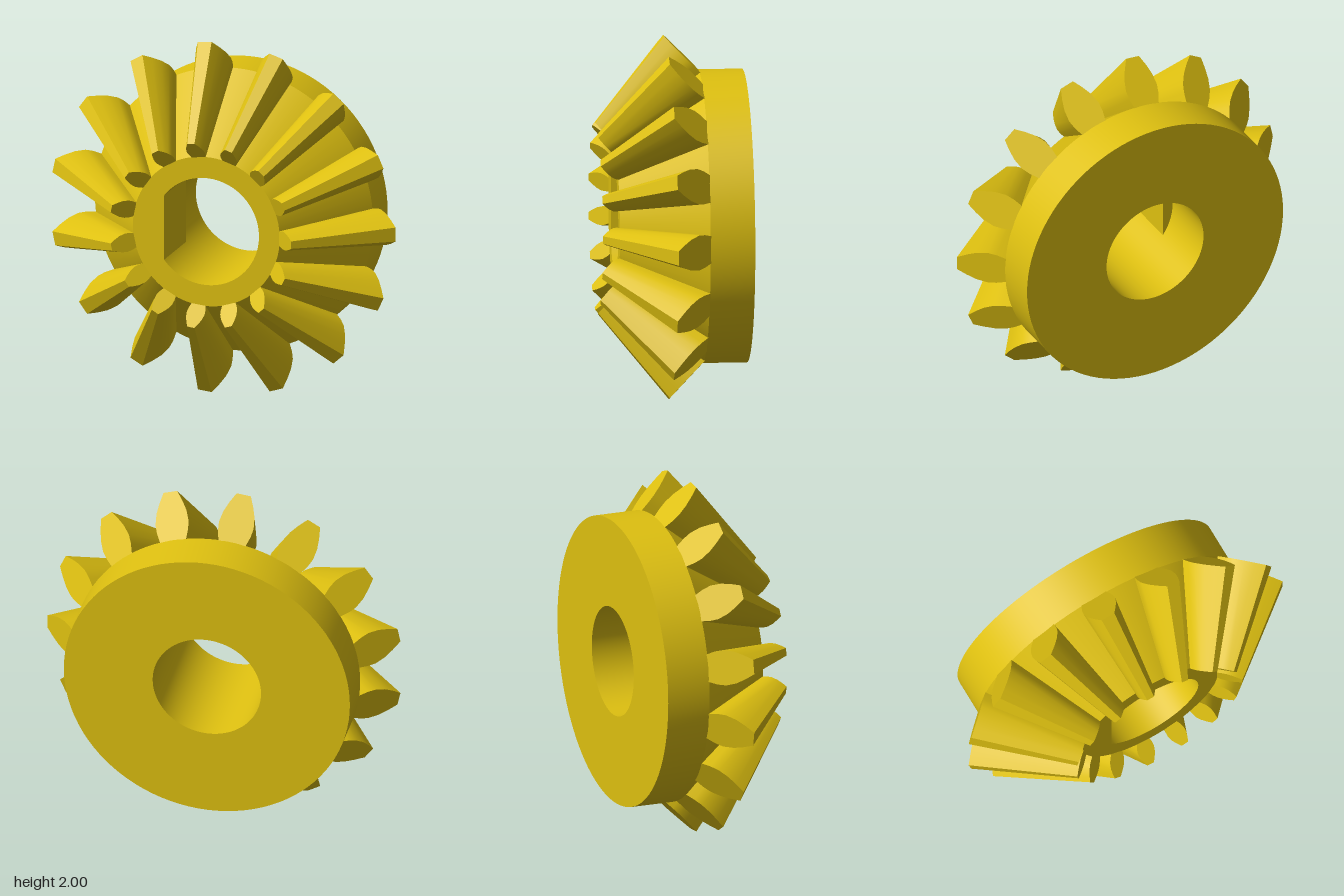
import * as THREE from 'three';
import { toCreasedNormals } from 'three/addons/utils/BufferGeometryUtils.js';
import { ConvexGeometry } from 'three/addons/geometries/ConvexGeometry.js';

const TEETH = 15;
const APEX = 0.829;        // z where the tip and root cones meet
const SMALL_END = 0.526;   // scale of the front tooth section about the apex
const ROOT = 0.805, ROOT_Z = -0.165;
const BORE = 0.305, FLAT = 0.243;
const BACK = -0.41, FRONT = 0.305;

// Tooth section on the back cone: radius, half width
const PROFILE = [[0.785, 0.07], [0.805, 0.076], [0.84, 0.092], [0.875, 0.098],
  [0.92, 0.088], [0.96, 0.067], [1.0, 0.04]];

function toothGeometry() {
  const points = [];
  for (const s of [1, SMALL_END]) {
    for (const [r, w] of PROFILE) {
      const z = ROOT_Z + (r - ROOT) * 0.975;
      for (const side of [-1, 1]) {
        points.push(new THREE.Vector3(r * s, side * w * s, APEX + (z - APEX) * s));
      }
    }
  }
  return toCreasedNormals(new ConvexGeometry(points), 0.55);
}

export function createModel() {
  const brass = new THREE.MeshStandardMaterial({ color: 0xdec010 });
  brass.name = 'yellow';

  const gear = new THREE.Group();
  gear.name = 'bevelGear';
  gear.position.set(-0.007, 1, 0);

  // Hub disc, root cone and round bore in one turned body
  const outline = [[BORE, BACK], [ROOT, BACK], [ROOT, ROOT_Z], [0.425, FRONT],
    [BORE, FRONT], [BORE, BACK]].map(([r, z]) => new THREE.Vector2(r, z));
  const bodyGeometry = new THREE.LatheGeometry(outline, 96).rotateX(Math.PI / 2);
  const body = new THREE.Mesh(toCreasedNormals(bodyGeometry, 0.5), brass);
  body.name = 'body';
  gear.add(body);

  // Flat that makes the front part of the bore D-shaped
  const a = Math.acos(FLAT / BORE);
  const segment = new THREE.Shape();
  segment.absarc(0, 0, BORE + 0.001, Math.PI - a, Math.PI + a, false);
  segment.closePath();
  const depth = 0.37;
  const flat = new THREE.Mesh(
    new THREE.ExtrudeGeometry(segment, { depth, bevelEnabled: false, curveSegments: 16 }), brass);
  flat.name = 'boreFlat';
  flat.position.z = FRONT - depth;
  gear.add(flat);

  // Ring of tapered teeth
  const geometry = toothGeometry();
  for (let i = 0; i < TEETH; i++) {
    const tooth = new THREE.Mesh(geometry, brass);
    tooth.name = 'tooth' + (i + 1);
    tooth.rotation.z = (i / TEETH) * Math.PI * 2;
    gear.add(tooth);
  }

  const model = new THREE.Group();
  model.name = 'model';
  model.add(gear);
  return model;
}
